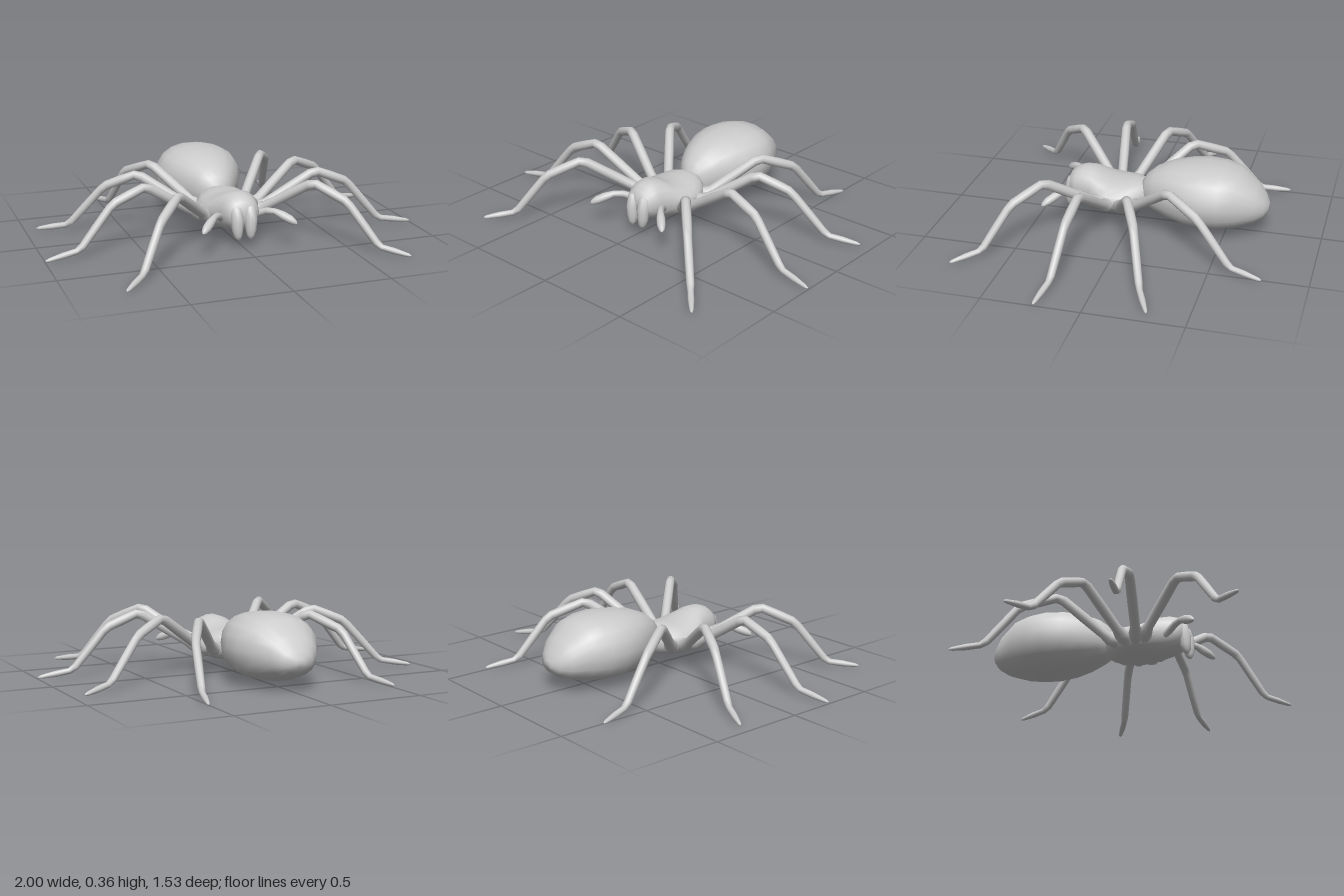
import * as THREE from 'three';

const material = new THREE.MeshStandardMaterial({ color: 0xcccccc });
const V = (x, y, z) => new THREE.Vector3(x, y, z);

// Closed skin over rings { c: centre, u, v: half axes }; u x v points along the loft
function loft(name, rings, sides, power = 2) {
  const pos = [], index = [];
  const curve = (t) => Math.sign(t) * Math.pow(Math.abs(t), 2 / power);
  for (const { c, u, v } of rings) {
    for (let j = 0; j < sides; j++) {
      const a = (j / sides) * Math.PI * 2;
      const p = c.clone().addScaledVector(u, curve(Math.cos(a))).addScaledVector(v, curve(Math.sin(a)));
      pos.push(p.x, p.y, p.z);
    }
  }
  for (let i = 0; i < rings.length - 1; i++) {
    for (let j = 0; j < sides; j++) {
      const k = (j + 1) % sides, a = i * sides, b = a + sides;
      index.push(a + j, a + k, b + j, a + k, b + k, b + j);
    }
  }
  // end caps
  const first = pos.length / 3, last = first + 1, end = (rings.length - 1) * sides;
  for (const r of [rings[0], rings[rings.length - 1]]) pos.push(r.c.x, r.c.y, r.c.z);
  for (let j = 0; j < sides; j++) {
    const k = (j + 1) % sides;
    index.push(first, k, j, last, end + j, end + k);
  }
  const g = new THREE.BufferGeometry();
  g.setAttribute('position', new THREE.Float32BufferAttribute(pos, 3));
  g.setIndex(index);
  g.computeVertexNormals();
  const mesh = new THREE.Mesh(g, material);
  mesh.name = name;
  return mesh;
}

// Body part from stations [z, half width, bottom y, top y], back to front
function body(name, stations, sides, power) {
  return loft(name, stations.map(([z, w, lo, hi]) => ({
    c: V(0, (lo + hi) / 2, z), u: V(w, 0, 0), v: V(0, (hi - lo) / 2, 0),
  })), sides, power);
}

// Limb through points [x, y, z, radius]; side = 1 for left, -1 for right
function limb(name, points, side, sides = 10) {
  const p = points.map(([x, y, z]) => V(x * side, y, z));
  const n = p.length - 1;
  const across = p[n].clone().sub(p[0]).cross(V(0, 1, 0)).normalize();
  return loft(name, p.map((c, i) => {
    const t = p[Math.min(i + 1, n)].clone().sub(c).normalize()
      .add(c.clone().sub(p[Math.max(i - 1, 0)]).normalize()).normalize();
    const u = across.clone().addScaledVector(t, -across.dot(t)).normalize();
    const v = t.clone().cross(u);
    const r = points[i][3];
    return { c, u: u.multiplyScalar(r), v: v.multiplyScalar(r) };
  }), sides);
}

// Leg joints: hip, socket, knee, shin joint, ankle, toe
const LEGS = {
  frontLeg: [[0.08, 0.12, 0.13], [0.16, 0.15, 0.17], [0.36, 0.325, 0.385], [0.49, 0.245, 0.52], [0.615, 0.035, 0.64], [0.73, 0.012, 0.765]],
  secondLeg: [[0.1, 0.12, 0.1], [0.18, 0.145, 0.12], [0.465, 0.325, 0.17], [0.64, 0.255, 0.185], [0.82, 0.04, 0.21], [0.998, 0.012, 0.236]],
  thirdLeg: [[0.1, 0.12, 0.06], [0.18, 0.145, 0.035], [0.44, 0.325, -0.075], [0.6, 0.255, -0.15], [0.78, 0.04, -0.225], [0.937, 0.012, -0.298]],
  backLeg: [[0.07, 0.12, 0.03], [0.14, 0.145, -0.04], [0.315, 0.325, -0.25], [0.415, 0.25, -0.425], [0.465, 0.035, -0.6], [0.511, 0.012, -0.766]],
};
const RADII = [[0.036, 0.036], [0.026, 0.026], [0.024, 0.024], [0.022, 0.02], [0.016, 0.015]];

// Rounds each joint with two rings and swells the middle of every segment
function legPoints(joints) {
  const out = [];
  const mix = (a, b, t) => a.map((q, k) => q + (b[k] - q) * t);
  for (let i = 0; i < joints.length - 1; i++) {
    const a = joints[i], b = joints[i + 1], [r0, r1] = RADII[i];
    out.push([...mix(a, b, 0.09), r0], [...mix(a, b, 0.5), (r0 + r1) * 0.52],
      [...mix(a, b, 0.91), i === 4 ? 0.01 : r1]);
  }
  out.push([...joints[joints.length - 1], 0.004]);
  return out;
}

export function createModel() {
  const model = new THREE.Group();
  model.name = 'spider';

  model.add(body('abdomen', [
    [-0.72, 0.03, 0.135, 0.175],
    [-0.7, 0.08, 0.105, 0.215],
    [-0.655, 0.13, 0.075, 0.274],
    [-0.56, 0.19, 0.044, 0.347],
    [-0.48, 0.222, 0.034, 0.364],
    [-0.39, 0.233, 0.03, 0.37],
    [-0.29, 0.21, 0.035, 0.362],
    [-0.2, 0.168, 0.05, 0.345],
    [-0.12, 0.12, 0.074, 0.312],
    [-0.07, 0.08, 0.095, 0.27],
    [-0.04, 0.035, 0.13, 0.22],
  ], 18, 2.25));

  model.add(body('thorax', [
    [-0.1, 0.04, 0.11, 0.2],
    [-0.06, 0.095, 0.08, 0.225],
    [-0.01, 0.14, 0.065, 0.235],
    [0.05, 0.162, 0.06, 0.232],
    [0.12, 0.166, 0.06, 0.235],
    [0.17, 0.148, 0.06, 0.255],
    [0.22, 0.12, 0.063, 0.277],
    [0.27, 0.103, 0.07, 0.28],
    [0.31, 0.094, 0.085, 0.268],
    [0.34, 0.075, 0.11, 0.245],
    [0.355, 0.04, 0.145, 0.215],
  ], 18, 2.1));

  for (const side of [1, -1]) {
    const label = side > 0 ? 'left' : 'right';
    for (const [name, joints] of Object.entries(LEGS)) {
      model.add(limb(`${name}_${label}`, legPoints(joints), side));
    }
    // fangs under the face
    model.add(limb(`fang_${label}`, [
      [0.036, 0.225, 0.3, 0.02], [0.037, 0.2, 0.332, 0.033], [0.037, 0.15, 0.345, 0.034],
      [0.036, 0.1, 0.348, 0.029], [0.034, 0.07, 0.352, 0.022], [0.033, 0.052, 0.355, 0.008],
    ], side));
    // feelers beside the face
    model.add(limb(`feeler_${label}`, [
      [0.07, 0.13, 0.23, 0.02], [0.1, 0.155, 0.27, 0.02], [0.135, 0.18, 0.32, 0.018],
      [0.165, 0.182, 0.355, 0.017], [0.195, 0.167, 0.385, 0.023], [0.225, 0.15, 0.415, 0.022],
      [0.243, 0.138, 0.432, 0.014], [0.25, 0.133, 0.44, 0.004],
    ], side));
  }
  return model;
}
